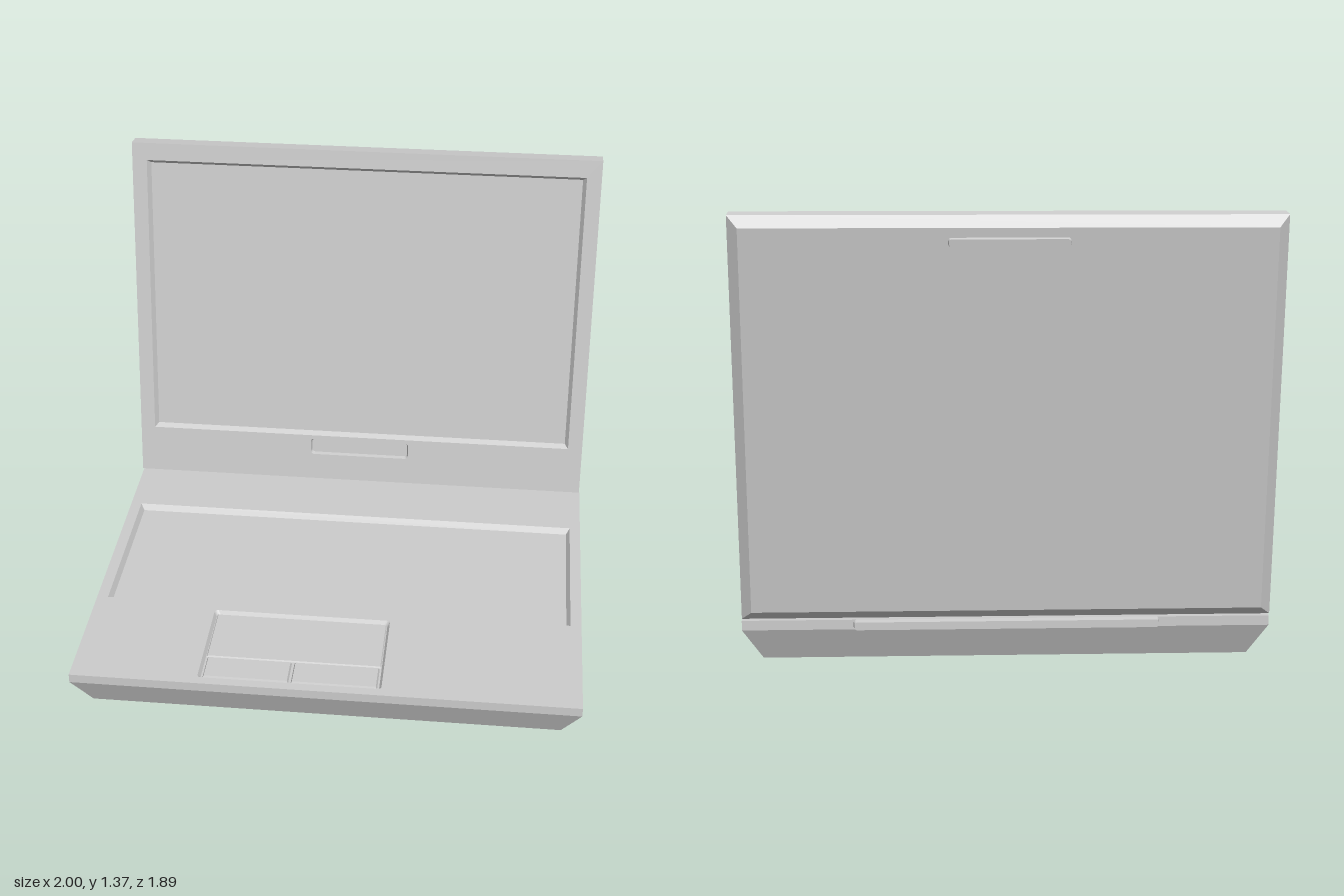
import * as THREE from 'three';

const material = new THREE.MeshStandardMaterial({ color: 0xcccccc, flatShading: true });

// Counter-clockwise outline of a rectangle centred on (x, y), with optional round corners
function outline({ x = 0, y = 0, w, h, r = 0 }, inset = [0, 0]) {
  const hw = w / 2 - inset[0], hh = h / 2 - inset[1];
  const steps = r > 0 ? 4 : 0;
  const points = [];
  [[1, 1], [-1, 1], [-1, -1], [1, -1]].forEach(([sx, sy], corner) => {
    for (let i = 0; i <= steps; i++) {
      const a = (corner + (steps ? i / steps : 0)) * Math.PI / 2;
      points.push(new THREE.Vector2(
        x + sx * (hw - r) + r * Math.cos(a),
        y + sy * (hh - r) + r * Math.sin(a)));
    }
  });
  return points;
}

// Walls joining successive outlines [points, z]; high to low faces out, low to high faces in
function walls(name, rings) {
  const positions = [];
  for (let k = 0; k < rings.length - 1; k++) {
    const [p, zp] = rings[k], [q, zq] = rings[k + 1];
    for (let i = 0; i < p.length; i++) {
      const j = (i + 1) % p.length;
      const a = [p[i].x, p[i].y, zp], b = [q[i].x, q[i].y, zq];
      const c = [q[j].x, q[j].y, zq], d = [p[j].x, p[j].y, zp];
      positions.push(...a, ...b, ...c, ...a, ...c, ...d);
    }
  }
  const geometry = new THREE.BufferGeometry();
  geometry.setAttribute('position', new THREE.Float32BufferAttribute(positions, 3));
  geometry.computeVertexNormals();
  return named(name, geometry);
}

function named(name, geometry) {
  const mesh = new THREE.Mesh(geometry, material);
  mesh.name = name;
  return mesh;
}

// Flat face at height z, with optional holes
function face(name, points, z, holes = []) {
  const shape = new THREE.Shape(points);
  holes.forEach(h => shape.holes.push(new THREE.Path(h)));
  const geometry = new THREE.ShapeGeometry(shape);
  geometry.translate(0, 0, z);
  return named(name, geometry);
}

// Low raised block with sloped edges
function raised(name, rect, z0, z1, slope) {
  const group = new THREE.Group();
  group.name = name;
  const top = outline(rect, [slope, slope]);
  group.add(face(name + 'Top', top, z1), walls(name + 'Sides', [[top, z1], [outline(rect), z0]]));
  return group;
}

// Shell facing +z with a bevelled back and sunken areas in its front
function panel(name, size, side, thickness, bevel, recesses) {
  const group = new THREE.Group();
  group.name = name;
  const rim = outline(size), back = outline(size, bevel);
  group.add(
    face(name + 'Front', rim, 0, recesses.map(r => outline(r))),
    walls(name + 'Sides', [[rim, 0], [rim, -side], [back, -thickness]]));
  const backFace = face(name + 'Back', back, 0);
  backFace.rotation.y = Math.PI;
  backFace.position.z = -thickness;
  group.add(backFace);
  for (const r of recesses) {
    const floor = outline(r, [r.slope, r.slope]);
    group.add(
      face(r.name + 'Floor', floor, -r.depth),
      walls(r.name + 'Edge', [[floor, -r.depth], [outline(r), 0]]));
  }
  return group;
}

export function createModel() {
  const model = new THREE.Group();
  model.name = 'laptop';
  const laptop = new THREE.Group();
  laptop.name = 'turnedLaptop';
  laptop.rotation.y = THREE.MathUtils.degToRad(-21);
  laptop.position.set(-0.033, 0, 0.0925);
  model.add(laptop);

  // Base with keyboard well and touchpad well
  const base = panel('base', { w: 1.606, h: 1.21 }, 0.03, 0.13, [0.06, 0.046], [
    { name: 'keyboardWell', y: 0.086, w: 1.534, h: 0.56, slope: 0.012, depth: 0.02 },
    { name: 'touchpadWell', x: -0.11, y: -0.4015, w: 0.58, h: 0.347, r: 0.012, slope: 0.008, depth: 0.014 },
  ]);
  base.rotation.x = -Math.PI / 2;
  base.position.y = 0.13;
  laptop.add(base);

  // Touchpad and its two buttons
  base.add(raised('touchpad', { x: -0.11, y: -0.347, w: 0.56, h: 0.22 }, -0.014, -0.009, 0.003));
  for (const [name, x] of [['rightButton', -0.25], ['leftButton', 0.03]]) {
    base.add(raised(name, { x, y: -0.513, w: 0.272, h: 0.1 }, -0.014, -0.005, 0.004));
  }

  // Lid, leaning back, with screen and lower latch notch
  const lid = panel('lid', { w: 1.6, h: 1.23 }, 0.06, 0.09, [0.032, 0.032], [
    { name: 'screen', y: 0.055, w: 1.5, h: 1.0, slope: 0.012, depth: 0.018 },
    { name: 'notch', y: -0.489, w: 0.354, h: 0.06, r: 0.012, slope: 0.004, depth: 0.014 },
  ]);
  lid.rotation.x = THREE.MathUtils.degToRad(-7.7);
  lid.position.set(0, 0.76, -0.649);
  laptop.add(lid);

  // Slim raised bar on the back of the lid
  const backBar = raised('backBar', { y: 0.542, w: 0.35, h: 0.026, r: 0.009 }, 0, 0.014, 0.002);
  backBar.rotation.y = Math.PI;
  backBar.position.z = -0.09;
  lid.add(backBar);

  // Hinge strip along the rear edge of the base
  const hinge = raised('hinge', { w: 0.93, h: 0.03, r: 0.008 }, 0, 0.022, 0.003);
  hinge.rotation.y = Math.PI;
  hinge.position.set(0, 0.115, -0.605);
  laptop.add(hinge);

  return model;
}
